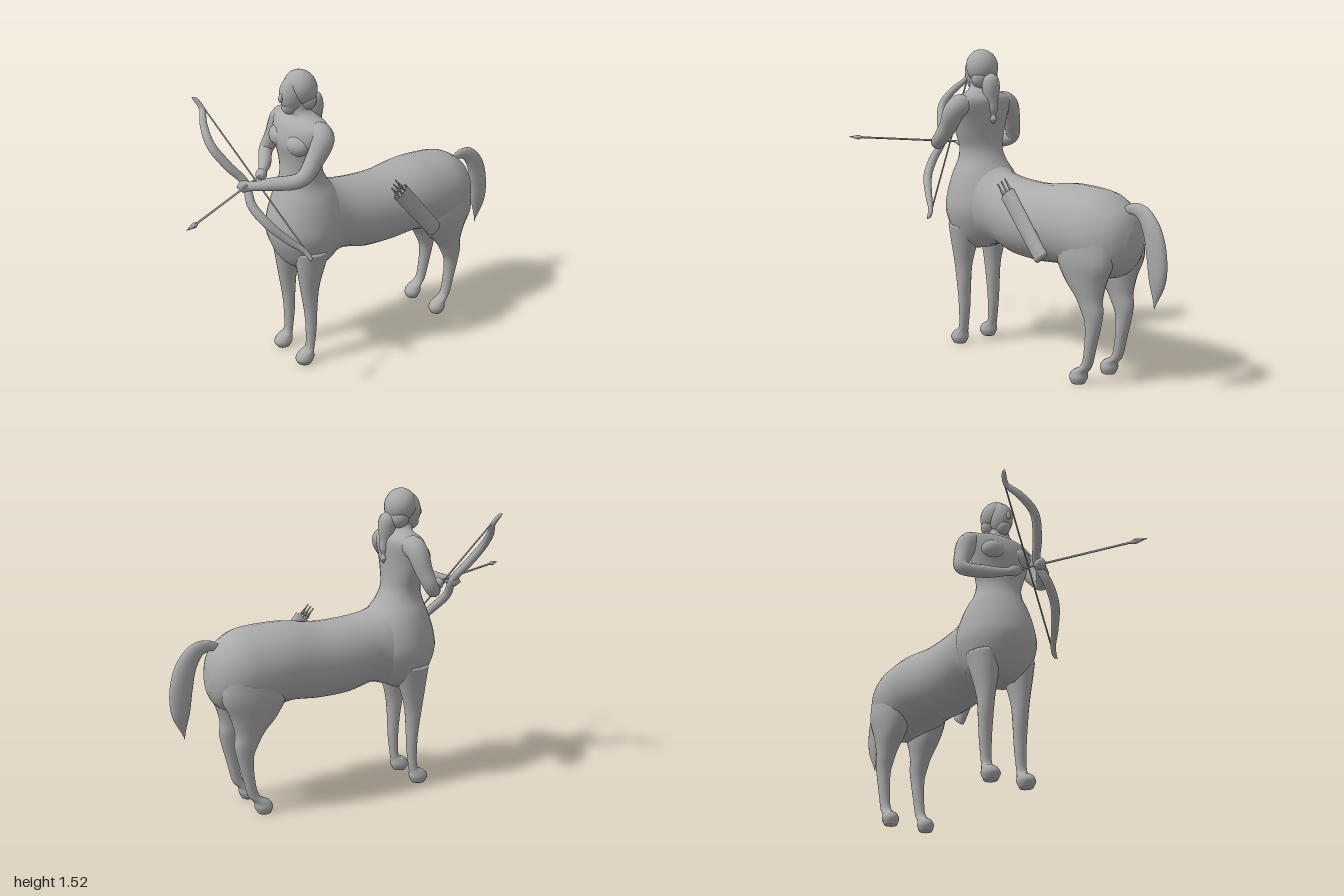
import * as THREE from 'three';
import { mergeVertices } from 'three/addons/utils/BufferGeometryUtils.js';

const V = (p) => new THREE.Vector3(p[0], p[1], p[2]);

// Smooth closed body through oval sections along 'y' or 'z'.
// Station: [position, low, high, halfWidth, xCentre]; low/high lie on the other axis.
function loft(axis, stations, sides = 28, steps = 5) {
  const channel = (k) => new THREE.SplineCurve(stations.map((s, i) => new THREE.Vector2(i, s[k] ?? 0)));
  const curves = [0, 1, 2, 3, 4].map(channel);
  const rings = (stations.length - 1) * steps;
  const pos = [], index = [];
  for (let r = -1; r <= rings + 1; r++) {
    const t = THREE.MathUtils.clamp(r / rings, 0, 1);
    const [p, lo, hi, hw, xc] = curves.map((c) => c.getPoint(t).y);
    const size = r < 0 || r > rings ? 0 : 1; // collapsed end rings close the form
    for (let j = 0; j < sides; j++) {
      const a = (j / sides) * Math.PI * 2;
      const x = xc + hw * size * Math.cos(a);
      const o = (hi - lo) / 2 * size * Math.sin(a);
      if (axis === 'z') pos.push(x, (lo + hi) / 2 + o, p);
      else pos.push(x, p, (lo + hi) / 2 - o);
    }
  }
  for (let r = 0; r < rings + 2; r++) {
    for (let j = 0; j < sides; j++) {
      const a = r * sides + j, b = r * sides + (j + 1) % sides;
      index.push(a, b, b + sides, a, b + sides, a + sides);
    }
  }
  const g = new THREE.BufferGeometry();
  g.setAttribute('position', new THREE.Float32BufferAttribute(pos, 3));
  g.setIndex(index);
  const m = mergeVertices(g, 1e-5);
  m.computeVertexNormals();
  return m;
}

// Tube with a radius per point: [x, y, z, radius]; flat squeezes it in x.
function taper(points, { sides = 14, steps = 6, flat = 1 } = {}) {
  const curve = new THREE.CatmullRomCurve3(points.map(V));
  const radii = new THREE.SplineCurve(points.map((p, i) => new THREE.Vector2(i, p[3])));
  const segs = (points.length - 1) * steps;
  const g = new THREE.TubeGeometry(curve, segs, 1, sides, false);
  const pos = g.attributes.position, v = new THREE.Vector3();
  for (let i = 0; i < pos.count; i++) {
    const u = Math.floor(i / (sides + 1)) / segs;
    const c = curve.getPointAt(u);
    const r = Math.max(radii.getPoint(curve.getUtoTmapping(u)).y, 0);
    v.fromBufferAttribute(pos, i).sub(c).multiplyScalar(r);
    v.x *= flat;
    v.add(c);
    pos.setXYZ(i, v.x, v.y, v.z);
  }
  g.deleteAttribute('uv');
  g.deleteAttribute('normal');
  const m = mergeVertices(g, 1e-5);
  m.computeVertexNormals();
  return m;
}

export function createModel() {
  const model = new THREE.Group();
  model.name = 'centaurArcher';
  const grey = new THREE.MeshStandardMaterial({ color: 0xaaaaaa });
  grey.name = 'stoneGrey';

  const add = (name, geometry, parent = model) => {
    const mesh = new THREE.Mesh(geometry, grey);
    mesh.name = name;
    parent.add(mesh);
    return mesh;
  };
  const ball = (name, c, r, tilt = 0) => {
    const mesh = add(name, new THREE.SphereGeometry(1, 24, 18));
    mesh.position.set(...c);
    mesh.scale.set(...r);
    mesh.rotation.x = tilt;
    return mesh;
  };
  // Cylinder between two points
  const rod = (name, a, b, r0, r1, sides = 8) => {
    const d = V(b).sub(V(a));
    const mesh = add(name, new THREE.CylinderGeometry(r1, r0, d.length(), sides));
    mesh.position.copy(V(a)).addScaledVector(d, 0.5);
    mesh.quaternion.setFromUnitVectors(new THREE.Vector3(0, 1, 0), d.normalize());
    return mesh;
  };

  // Horse barrel and rump
  add('horseBody', loft('z', [
    [-0.817, 0.62, 0.74, 0.04], [-0.79, 0.56, 0.81, 0.105], [-0.74, 0.52, 0.86, 0.155],
    [-0.65, 0.50, 0.905, 0.19], [-0.5, 0.51, 0.917, 0.2], [-0.4, 0.525, 0.914, 0.195],
    [-0.25, 0.515, 0.895, 0.185], [-0.1, 0.522, 0.9, 0.174], [0.03, 0.553, 0.92, 0.163],
    [0.12, 0.535, 0.955, 0.172], [0.2, 0.54, 0.95, 0.18], [0.3, 0.59, 0.88, 0.13]]));

  // Horse chest rising into the human torso and neck
  add('torso', loft('y', [
    [0.52, 0.15, 0.29, 0.09], [0.58, 0.06, 0.35, 0.15], [0.7, 0.0, 0.4, 0.193],
    [0.8, 0.0, 0.393, 0.187], [0.9, 0.05, 0.36, 0.16], [0.97, 0.1, 0.332, 0.127],
    [1.03, 0.128, 0.32, 0.12], [1.1, 0.135, 0.32, 0.142], [1.18, 0.13, 0.335, 0.165],
    [1.25, 0.125, 0.32, 0.185], [1.285, 0.135, 0.3, 0.17], [1.31, 0.16, 0.275, 0.1],
    [1.34, 0.18, 0.28, 0.052], [1.42, 0.19, 0.285, 0.047]]));

  for (const s of [1, -1]) {
    const side = s > 0 ? 'left' : 'right';
    const leg = (rows, xc) => loft('y', rows.map((r) => [...r, s * xc]), 18);
    ball(side + 'Breast', [s * 0.075, 1.19, 0.285], [0.07, 0.055, 0.055]);
    add(side + 'FrontLeg', leg([
      [0, 0.25, 0.32, 0.032], [0.03, 0.235, 0.335, 0.043], [0.06, 0.235, 0.315, 0.036],
      [0.09, 0.23, 0.275, 0.027], [0.2, 0.217, 0.272, 0.031], [0.3, 0.213, 0.28, 0.036],
      [0.42, 0.2, 0.3, 0.041], [0.53, 0.17, 0.315, 0.06], [0.64, 0.13, 0.33, 0.08]], 0.1));
    add(side + 'HindLeg', leg([
      [0, -0.615, -0.55, 0.032], [0.03, -0.63, -0.54, 0.043], [0.06, -0.635, -0.555, 0.036],
      [0.1, -0.665, -0.61, 0.027], [0.2, -0.69, -0.63, 0.03], [0.3, -0.715, -0.63, 0.035],
      [0.36, -0.725, -0.605, 0.042], [0.42, -0.72, -0.57, 0.05], [0.5, -0.74, -0.5, 0.068],
      [0.6, -0.78, -0.45, 0.085], [0.72, -0.77, -0.45, 0.08]], 0.105));
  }

  // Arms: the left reaches out to the bow, the right draws the string
  add('leftArm', taper([
    [0.08, 1.26, 0.21, 0], [0.12, 1.255, 0.21, 0.05], [0.172, 1.235, 0.215, 0.055],
    [0.18, 1.14, 0.27, 0.045], [0.18, 1.065, 0.34, 0.037], [0.1, 1.04, 0.45, 0.032],
    [0.035, 1.025, 0.525, 0.022], [0.0, 1.02, 0.555, 0.03], [-0.015, 1.015, 0.575, 0]]));
  add('rightArm', taper([
    [-0.08, 1.26, 0.21, 0], [-0.12, 1.255, 0.21, 0.05], [-0.175, 1.235, 0.215, 0.055],
    [-0.225, 1.13, 0.235, 0.043], [-0.247, 1.055, 0.265, 0.035], [-0.15, 1.03, 0.335, 0.031],
    [-0.075, 1.025, 0.395, 0.02], [-0.04, 1.03, 0.425, 0.028], [-0.01, 1.03, 0.45, 0]]));

  // Head, cap and hair
  ball('face', [-0.007, 1.41, 0.258], [0.058, 0.088, 0.068]);
  ball('jaw', [-0.007, 1.355, 0.278], [0.036, 0.04, 0.04]);
  ball('nose', [-0.007, 1.405, 0.322], [0.012, 0.025, 0.014], -0.3);
  ball('cap', [-0.005, 1.435, 0.217], [0.083, 0.088, 0.078], 0.35);
  ball('napeHair', [-0.005, 1.38, 0.2], [0.075, 0.06, 0.055]);
  add('ponytail', taper([
    [0, 1.42, 0.16, 0], [0, 1.38, 0.152, 0.04], [0, 1.33, 0.145, 0.045], [0, 1.27, 0.14, 0.033],
    [0, 1.22, 0.132, 0.024], [0, 1.195, 0.13, 0.012], [0, 1.175, 0.128, 0.02], [0, 1.15, 0.128, 0]]));

  add('tail', taper([
    [-0.008, 0.82, -0.74, 0.015], [-0.008, 0.843, -0.8, 0.026], [-0.008, 0.83, -0.86, 0.038],
    [-0.008, 0.76, -0.915, 0.05], [-0.008, 0.65, -0.945, 0.055], [-0.008, 0.53, -0.952, 0.044],
    [-0.008, 0.4, -0.937, 0]], { flat: 0.55 }));

  // Recurved bow with its string
  add('bow', taper([
    [-0.268, 1.4, 0.648, 0], [-0.262, 1.39, 0.635, 0.01], [-0.235, 1.345, 0.615, 0.013],
    [-0.175, 1.29, 0.643, 0.018], [-0.1, 1.215, 0.652, 0.021], [-0.045, 1.12, 0.6, 0.022],
    [0, 1.03, 0.535, 0.019], [0.06, 0.94, 0.54, 0.022], [0.13, 0.86, 0.5, 0.022],
    [0.185, 0.775, 0.425, 0.018], [0.225, 0.715, 0.36, 0.013], [0.25, 0.68, 0.342, 0.01],
    [0.26, 0.668, 0.348, 0]]));
  rod('bowString', [-0.245, 1.36, 0.61], [0.235, 0.7, 0.345], 0.004, 0.004, 6);

  // Nocked arrow
  rod('arrowShaft', [-0.03, 1.035, 0.43], [0.253, 1.035, 0.945], 0.005, 0.005);
  rod('arrowHeadBase', [0.24, 1.035, 0.92], [0.253, 1.035, 0.945], 0.004, 0.013);
  rod('arrowHead', [0.253, 1.035, 0.945], [0.28, 1.035, 1.0], 0.013, 0);

  // Quiver on the left flank with spare arrows
  const quiver = new THREE.Group();
  quiver.name = 'quiver';
  quiver.position.set(0.218, 0.727, -0.333);
  quiver.rotation.x = 0.7;
  model.add(quiver);
  const profile = [[0, -0.182], [0.038, -0.18], [0.042, -0.17], [0.046, 0.18], [0.038, 0.182], [0.036, 0.15], [0, 0.15]];
  const shell = add('quiverShell', new THREE.LatheGeometry(profile.map((p) => new THREE.Vector2(...p)), 24), quiver);
  shell.scale.x = 0.55;
  [-0.022, 0, 0.022].forEach((z, i) => {
    const shaft = add('spareArrow', new THREE.CylinderGeometry(0.004, 0.004, 0.12, 6), quiver);
    shaft.position.set((i - 1) * 0.007, 0.19, z);
    for (const turn of [0, Math.PI / 2]) {
      const fin = add('fletching', new THREE.ConeGeometry(0.011, 0.06, 4), quiver);
      fin.position.set((i - 1) * 0.007, 0.22, z);
      fin.scale.z = 0.3;
      fin.rotation.y = turn;
    }
  });
  return model;
}
